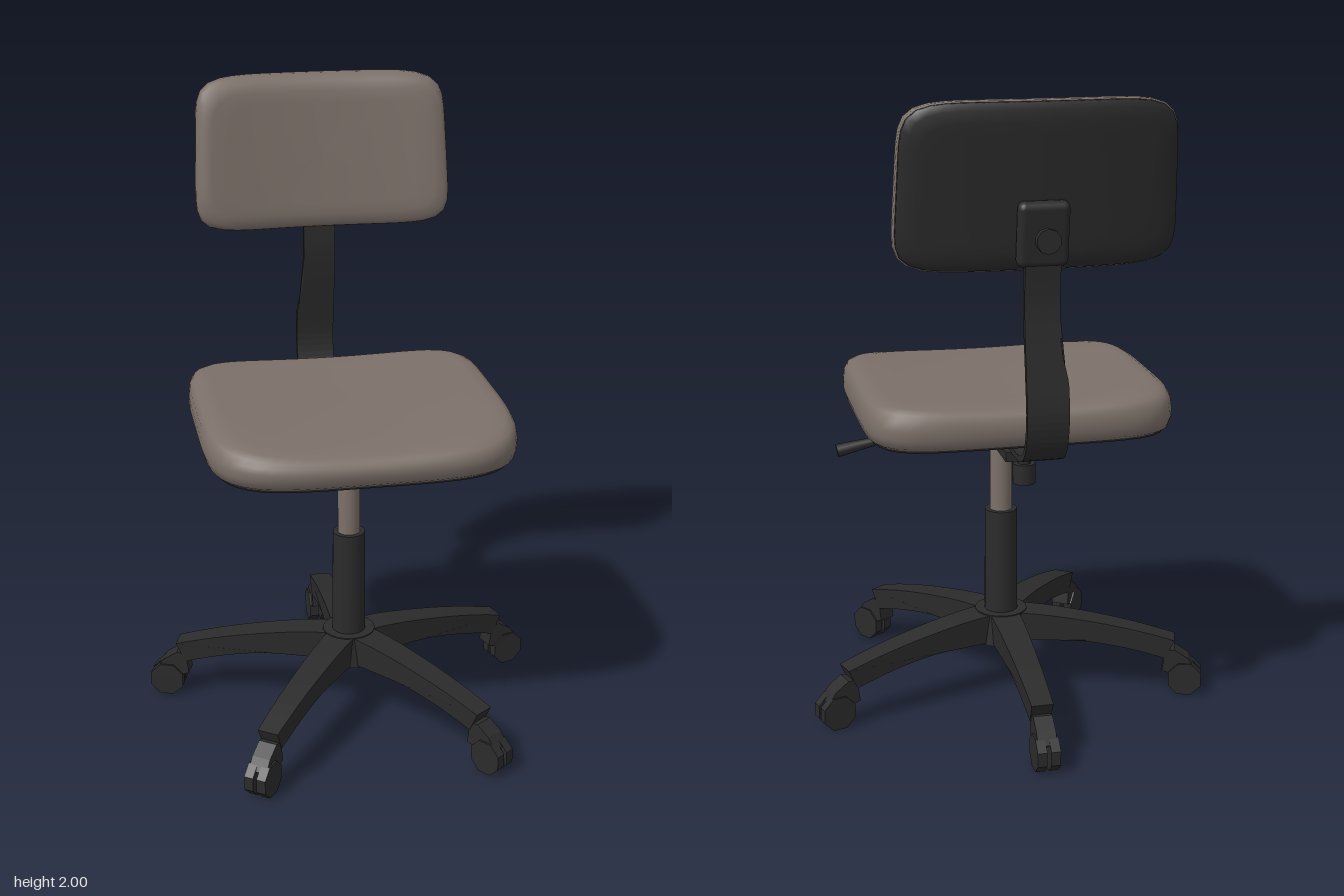
import * as THREE from 'three';
import { RoundedBoxGeometry } from 'three/addons/geometries/RoundedBoxGeometry.js';

const fabric = new THREE.MeshStandardMaterial({ color: 0x7c7069 });
fabric.name = 'taupe fabric and metal';
const plastic = new THREE.MeshStandardMaterial({ color: 0x2b2b2b });
plastic.name = 'black plastic';

const COLUMN_Z = 0.06;

function add(parent, name, geometry, material, x = 0, y = 0, z = 0) {
  const mesh = new THREE.Mesh(geometry, material);
  mesh.name = name;
  mesh.position.set(x, y, z);
  parent.add(mesh);
  return mesh;
}

// Cylinder between two points
function rod(parent, name, a, b, r0, r1, material, sides = 16) {
  const from = new THREE.Vector3(...a), to = new THREE.Vector3(...b);
  const dir = to.clone().sub(from);
  const mesh = add(parent, name, new THREE.CylinderGeometry(r1, r0, dir.length(), sides), material);
  mesh.position.copy(from).add(to).multiplyScalar(0.5);
  mesh.quaternion.setFromUnitVectors(new THREE.Vector3(0, 1, 0), dir.normalize());
  return mesh;
}

// Rounded pad: stacked superellipse rings [inset, height], placed by map(u, v, w)
function pad(a, b, power, levels, capStart, capEnd, map) {
  const N = 80, caps = [0, 0.3, 0.6, 0.82];
  const rings = levels.map(([inset, w]) => [a - inset, b - inset, w]);
  const scaled = (r) => caps.map((s) => [r[0] * s, r[1] * s, r[2]]);
  const first = rings[0], last = rings[rings.length - 1];
  if (capStart) rings.unshift(...scaled(first));
  if (capEnd) rings.push(...scaled(last).reverse());
  const pos = [], index = [];
  rings.forEach(([ra, rb, w], i) => {
    for (let j = 0; j < N; j++) {
      const t = (j / N) * Math.PI * 2, c = Math.cos(t), s = Math.sin(t);
      const n = power(s);
      const k = ra < 1e-6 ? 0 : (Math.abs(c / ra) ** n + Math.abs(s / rb) ** n) ** (-1 / n);
      pos.push(...map(k * c, k * s, w));
      if (i === rings.length - 1) continue;
      const p = i * N + j, q = i * N + ((j + 1) % N);
      index.push(p, q, q + N, p, q + N, p + N);
    }
  });
  const g = new THREE.BufferGeometry();
  g.setAttribute('position', new THREE.Float32BufferAttribute(pos, 3));
  g.setIndex(index);
  g.computeVertexNormals();
  return g;
}

// Side profile extruded to a centred width
function slab(points, width) {
  const g = new THREE.ExtrudeGeometry(new THREE.Shape(points), { depth: width, bevelEnabled: false });
  return g.translate(0, 0, -width / 2);
}

const curve = (pts, n) => new THREE.SplineCurve(pts.map((p) => new THREE.Vector2(...p))).getPoints(n);

function makeSeat(chair) {
  const power = (s) => (s < 0 ? 4.3 : 6);
  const map = (u, v, w) => {
    const z = 0.07 - v;
    const upper = THREE.MathUtils.clamp((w - 1.0) / 0.09, 0, 1);
    const dish = 0.02 * (1 - (u / 0.48) ** 2);
    const drop = 0.025 * (Math.max(0, z - 0.1) / 0.4) ** 2;
    return [u, w - upper * (dish + drop), z];
  };
  add(chair, 'seatCushion', pad(0.48, 0.445, power, [[0.03, 0.957], [0.008, 0.972], [0, 1.0], [0, 1.03],
    [0.004, 1.06], [0.015, 1.082], [0.035, 1.095], [0.07, 1.1]], false, true, map), fabric);
  add(chair, 'seatPan', pad(0.48, 0.445, power, [[0.2, 0.937], [0.06, 0.946], [0.022, 0.956],
    [0.022, 0.968]], true, false, map), plastic);
}

function makeBackrest(chair) {
  const power = () => 7;
  const map = (u, v, w) => {
    const x = u * (1 - 0.1 * v);
    return [x, 1.755 + v, -0.4 + w - 0.13 * v - 0.035 * (1 - (x / 0.42) ** 2)];
  };
  add(chair, 'backrestCushion', pad(0.41, 0.245, power, [[0.012, -0.034], [0, -0.02], [0, 0.005],
    [0.006, 0.025], [0.02, 0.038], [0.05, 0.046]], false, true, map), fabric);
  add(chair, 'backrestShell', pad(0.41, 0.245, power, [[0.06, -0.052], [0.025, -0.048], [0.006, -0.036],
    [0.004, -0.026], [0.03, -0.024]], true, false, map), plastic);
}

function makeSupport(chair) {
  // Bent strip from under the seat up to the backrest
  const path = curve([[-0.2, 0.925], [-0.33, 0.94], [-0.43, 0.948], [-0.49, 0.99], [-0.517, 1.09],
    [-0.5, 1.22], [-0.482, 1.33], [-0.474, 1.43], [-0.482, 1.55], [-0.497, 1.68]], 48);
  const side = (offset) => path.map((p, i) => {
    const d = path[Math.min(i + 1, 48)].clone().sub(path[Math.max(i - 1, 0)]).normalize();
    return new THREE.Vector2(p.x - d.y * offset, p.y + d.x * offset);
  });
  const strip = slab([...side(0.009), ...side(-0.009).reverse()], 0.105).rotateY(-Math.PI / 2);
  const pos = strip.attributes.position;
  for (let i = 0; i < pos.count; i++) {
    if (pos.getX(i) < 0) pos.setX(i, pos.getX(i) - 0.02 * (1 - THREE.MathUtils.smoothstep(pos.getY(i), 1.18, 1.3)));
  }
  strip.computeVertexNormals();
  add(chair, 'backSupportStrip', strip, plastic);

  const bracket = add(chair, 'backrestBracket', new RoundedBoxGeometry(0.15, 0.19, 0.05, 2, 0.02), plastic, 0, 1.625, -0.482);
  bracket.rotation.x = -0.13;
  rod(chair, 'backrestKnobStem', [0, 1.615, -0.49], [0, 1.615, -0.54], 0.02, 0.02, plastic);
  rod(chair, 'backrestKnob', [0, 1.615, -0.532], [0, 1.615, -0.555], 0.036, 0.036, plastic, 10);

  // Mechanism under the seat
  add(chair, 'seatBracket', new THREE.BoxGeometry(0.14, 0.03, 0.22), plastic, 0, 0.919, -0.21);
  rod(chair, 'seatKnobStem', [0, 0.91, -0.265], [0, 0.86, -0.265], 0.02, 0.02, plastic);
  rod(chair, 'seatKnob', [0, 0.88, -0.265], [0, 0.817, -0.265], 0.035, 0.035, plastic, 10);
  const bowl = [[0, 0.876], [0.13, 0.877], [0.17, 0.885], [0.21, 0.908], [0.27, 0.948]];
  add(chair, 'mechanismCover', new THREE.LatheGeometry(bowl.map((p) => new THREE.Vector2(...p)), 32),
    plastic, 0, 0, COLUMN_Z);
  rod(chair, 'leverRod', [0.15, 0.922, 0.055], [0.42, 0.876, 0.055], 0.01, 0.01, fabric, 10);
  rod(chair, 'leverGrip', [0.41, 0.878, 0.055], [0.53, 0.855, 0.055], 0.014, 0.021, plastic, 10);
}

function makeBase(chair) {
  const base = new THREE.Group();
  base.name = 'base';
  base.position.z = COLUMN_Z;
  chair.add(base);
  rod(base, 'gasLift', [0, 0.6, 0], [0, 0.89, 0], 0.036, 0.036, fabric, 20);
  rod(base, 'columnSleeve', [0, 0.18, 0], [0, 0.622, 0], 0.055, 0.052, plastic, 20);
  rod(base, 'hub', [0, 0.172, 0], [0, 0.276, 0], 0.095, 0.085, plastic, 20);

  // Arched arm, tapering outward
  const top = curve([[0, 0.275], [0.14, 0.27], [0.3, 0.25], [0.45, 0.222], [0.575, 0.19]], 12);
  const under = curve([[0.545, 0.125], [0.42, 0.157], [0.28, 0.178], [0.14, 0.178], [0, 0.175]], 12);
  const arm = slab([...top, ...under], 0.1);
  const pos = arm.attributes.position;
  for (let i = 0; i < pos.count; i++) {
    const lower = pos.getY(i) < 0.275 - 0.13 * pos.getX(i) - 0.04 ? 0.9 : 1;
    pos.setZ(i, pos.getZ(i) * lower * (1 - 0.55 * pos.getX(i)));
  }
  arm.computeVertexNormals();
  const wheel = new THREE.CylinderGeometry(0.058, 0.058, 0.03, 8).rotateX(Math.PI / 2).rotateZ(Math.PI / 8).toNonIndexed();
  wheel.computeVertexNormals();
  const hood = slab([[0.535, 0.08], [0.6, 0.06], [0.645, 0.09], [0.62, 0.126], [0.575, 0.155], [0.545, 0.15]]
    .map((p) => new THREE.Vector2(...p)), 0.06);

  for (let i = 0; i < 5; i++) {
    const leg = new THREE.Group();
    leg.name = 'leg' + (i + 1);
    leg.rotation.y = Math.PI / 2 + (i * Math.PI * 2) / 5;
    base.add(leg);
    add(leg, 'arm', arm, plastic);
    add(leg, 'casterHood', hood, plastic);
    for (const s of [-1, 1]) add(leg, 'casterWheel', wheel, plastic, 0.61, 0.054, s * 0.021);
  }
}

export function createModel() {
  const chair = new THREE.Group();
  chair.name = 'officeChair';
  makeSeat(chair);
  makeBackrest(chair);
  makeSupport(chair);
  makeBase(chair);
  return chair;
}
